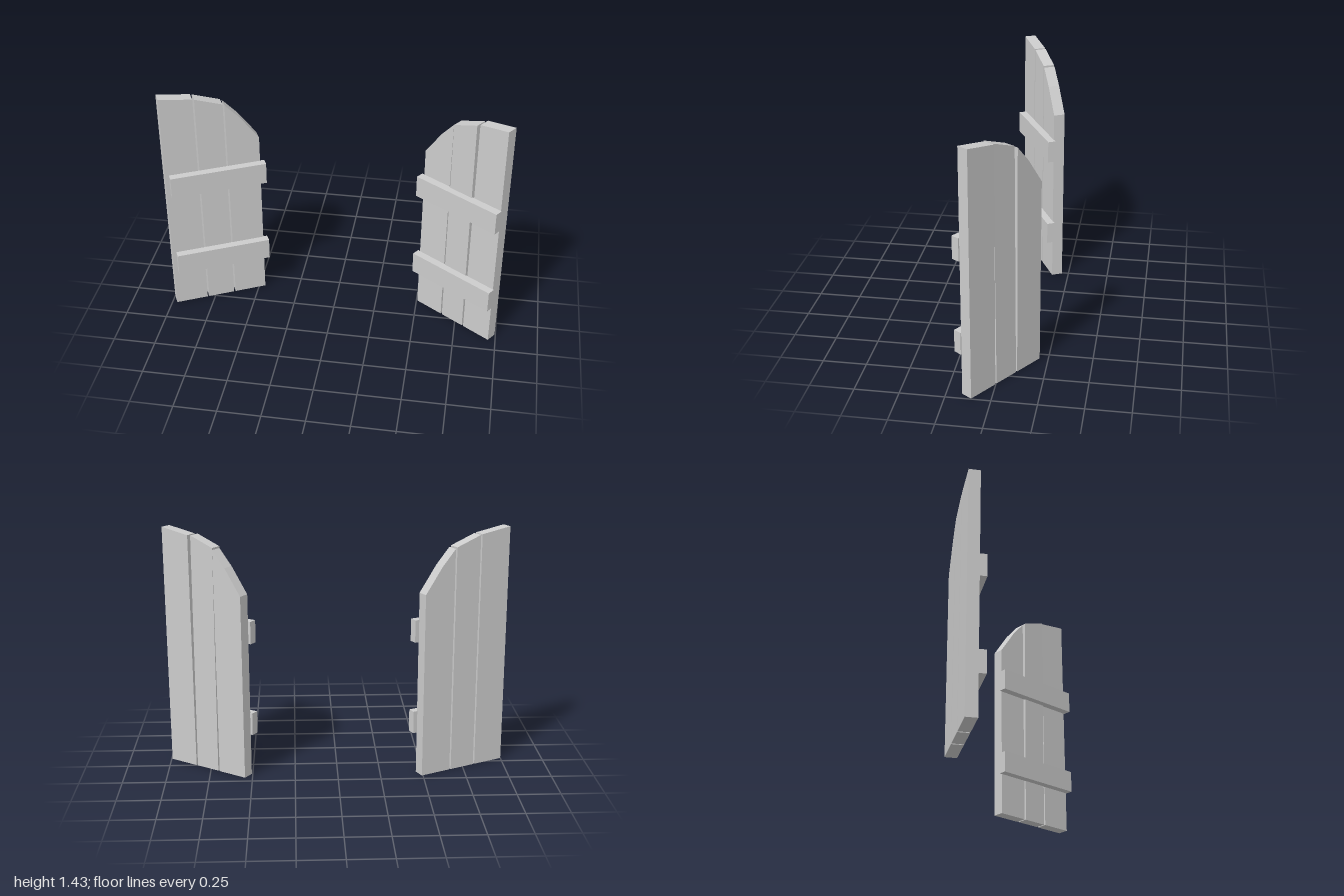
import * as THREE from 'three';

const material = new THREE.MeshStandardMaterial({ color: 0xcccccc, flatShading: true });
const THICK = 0.067, GAP = 0.005;

// Arched top edge: [fraction of panel width from the outer side, height]
const arch = [[0, 1.43], [0.35, 1.4], [0.65, 1.34], [0.81, 1.24], [1, 1.09]];
const seams = [0, 0.35, 0.65, 1];

function heightAt(f) {
  for (let i = 1; i < arch.length; i++) {
    const [a, ha] = arch[i - 1], [b, hb] = arch[i];
    if (f <= b) return ha + (hb - ha) * (f - a) / (b - a);
  }
  return arch[arch.length - 1][1];
}

// One plank: a flat outline following the arch, extruded backwards
function plank(index, width, dir) {
  const a = seams[index] + (index > 0 ? GAP / width : 0);
  const b = seams[index + 1] - (index < 2 ? GAP / width : 0);
  const fractions = [a, ...arch.map(p => p[0]).filter(f => f > a && f < b), b];
  const shape = new THREE.Shape([
    new THREE.Vector2(dir * a * width, 0),
    ...fractions.map(f => new THREE.Vector2(dir * f * width, heightAt(f))),
    new THREE.Vector2(dir * b * width, 0),
  ]);
  const geometry = new THREE.ExtrudeGeometry(shape, { depth: THICK, bevelEnabled: false });
  geometry.translate(0, 0, -THICK);
  const mesh = new THREE.Mesh(geometry, material);
  mesh.name = 'plank' + (index + 1);
  return mesh;
}

// A shutter starts at its outer front edge; dir points inwards along x
function shutter({ name, x, z, angle, width, dir, railStart, leans }) {
  const group = new THREE.Group();
  group.name = name;
  for (let i = 0; i < 3; i++) {
    const board = plank(i, width, dir);
    board.rotation.x = leans[i];
    group.add(board);
  }
  // Two cross rails on the front
  [['lowerRail', 0.315], ['upperRail', 0.865]].forEach(([railName, y]) => {
    const rail = new THREE.Mesh(new THREE.BoxGeometry(0.568, 0.132, 0.048), material);
    rail.position.set(dir * (railStart + 0.284), y, 0.021);
    rail.name = railName;
    group.add(rail);
  });
  group.position.set(x, 0, z);
  group.rotation.y = angle;
  return group;
}

export function createModel() {
  const model = new THREE.Group();
  model.name = 'shutters';
  model.add(
    shutter({
      name: 'rightShutter', x: -0.97, z: 0.103, angle: 0.46, width: 0.566,
      dir: 1, railStart: 0.023, leans: [0, 0, 0],
    }),
    shutter({
      name: 'leftShutter', x: 0.957, z: 0.163, angle: -0.6, width: 0.547,
      dir: -1, railStart: -0.006, leans: [-0.005, 0.005, -0.004],
    }),
  );
  return model;
}
